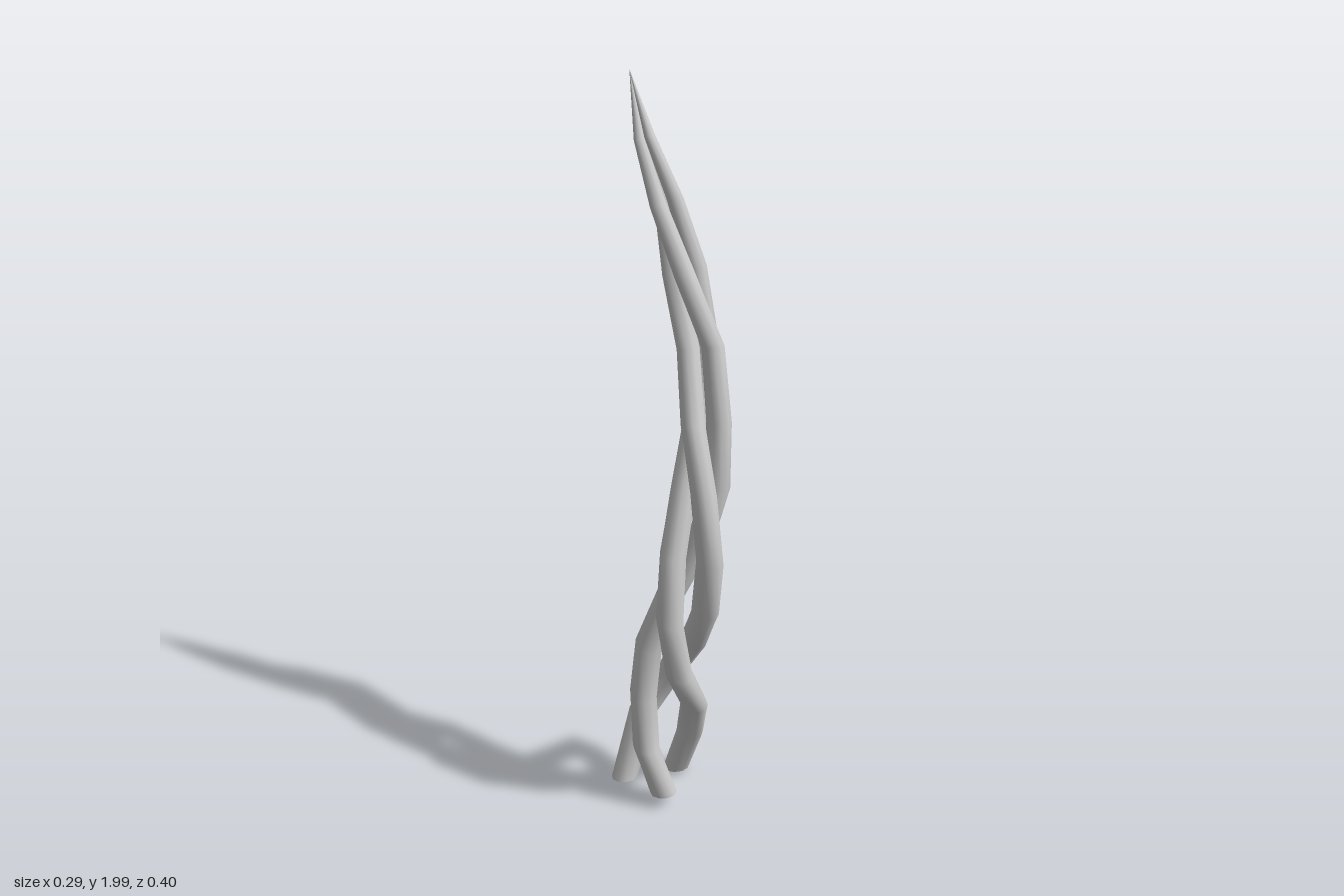
import * as THREE from 'three';

// Horn axis rings: x, y, z, distance of strands from axis, strand radius
const RINGS = [
  [-0.04, 0.022, -0.02, 0.088, 0.037],
  [-0.025, 0.19, -0.022, 0.085, 0.037],
  [-0.005, 0.355, 0.015, 0.08, 0.037],
  [-0.012, 0.5, 0.06, 0.07, 0.037],
  [-0.004, 0.66, 0.1, 0.061, 0.036],
  [0.022, 0.83, 0.117, 0.055, 0.035],
  [0.052, 1.0, 0.088, 0.048, 0.034],
  [0.067, 1.17, 0.05, 0.041, 0.032],
  [0.086, 1.35, -0.006, 0.037, 0.029],
  [0.056, 1.53, -0.06, 0.033, 0.026],
  [0.02, 1.7, -0.1, 0.025, 0.02],
  [-0.013, 1.85, -0.145, 0.016, 0.013],
  [-0.035, 2.0, -0.198, 0, 0.0005],
];
const SIDES = 10;
const TWIST = THREE.MathUtils.degToRad(42); // turn per ring

// Direction of the axis at ring i; the base is cut on a slant
function axisDirection(i) {
  if (i === 0) return new THREE.Vector3(0, 1, -0.2);
  const a = RINGS[i - 1], b = RINGS[Math.min(i + 1, RINGS.length - 1)];
  return new THREE.Vector3(b[0] - a[0], b[1] - a[1], b[2] - a[2]);
}

// One tapering strand winding around the axis
function strandGeometry(startAngle) {
  const pos = [], index = [];
  RINGS.forEach(([cx, cy, cz, offset, radius], i) => {
    const d = axisDirection(i);
    const angle = startAngle + i * TWIST;
    for (let s = 0; s < SIDES; s++) {
      const t = angle + (s / SIDES) * Math.PI * 2;
      const ox = offset * Math.cos(angle) + radius * Math.cos(t);
      const oz = offset * Math.sin(angle) + radius * Math.sin(t);
      // keep the ring square to the axis
      pos.push(cx + ox, cy - (d.x * ox + d.z * oz) / d.y, cz + oz);
      if (i > 0) {
        const n = (s + 1) % SIDES;
        const a = (i - 1) * SIDES + s, b = (i - 1) * SIDES + n;
        const c = i * SIDES + s, e = i * SIDES + n;
        index.push(a, c, b, b, c, e);
      }
    }
  });
  // flat base cap with its own vertices
  const first = pos.length / 3;
  pos.push(...pos.slice(0, SIDES * 3));
  for (let s = 1; s < SIDES - 1; s++) index.push(first, first + s, first + s + 1);

  const geo = new THREE.BufferGeometry();
  geo.setAttribute('position', new THREE.Float32BufferAttribute(pos, 3));
  geo.setIndex(index);
  geo.computeVertexNormals();
  return geo;
}

export function createModel() {
  const group = new THREE.Group();
  group.name = 'twistedHorn';
  const material = new THREE.MeshStandardMaterial({ color: 0xcccccc });

  // Three strands, evenly spaced, meeting at the tip
  for (let k = 0; k < 3; k++) {
    const start = THREE.MathUtils.degToRad(-28 + 120 * k);
    const strand = new THREE.Mesh(strandGeometry(start), material);
    strand.name = `strand${k + 1}`;
    group.add(strand);
  }
  return group;
}
